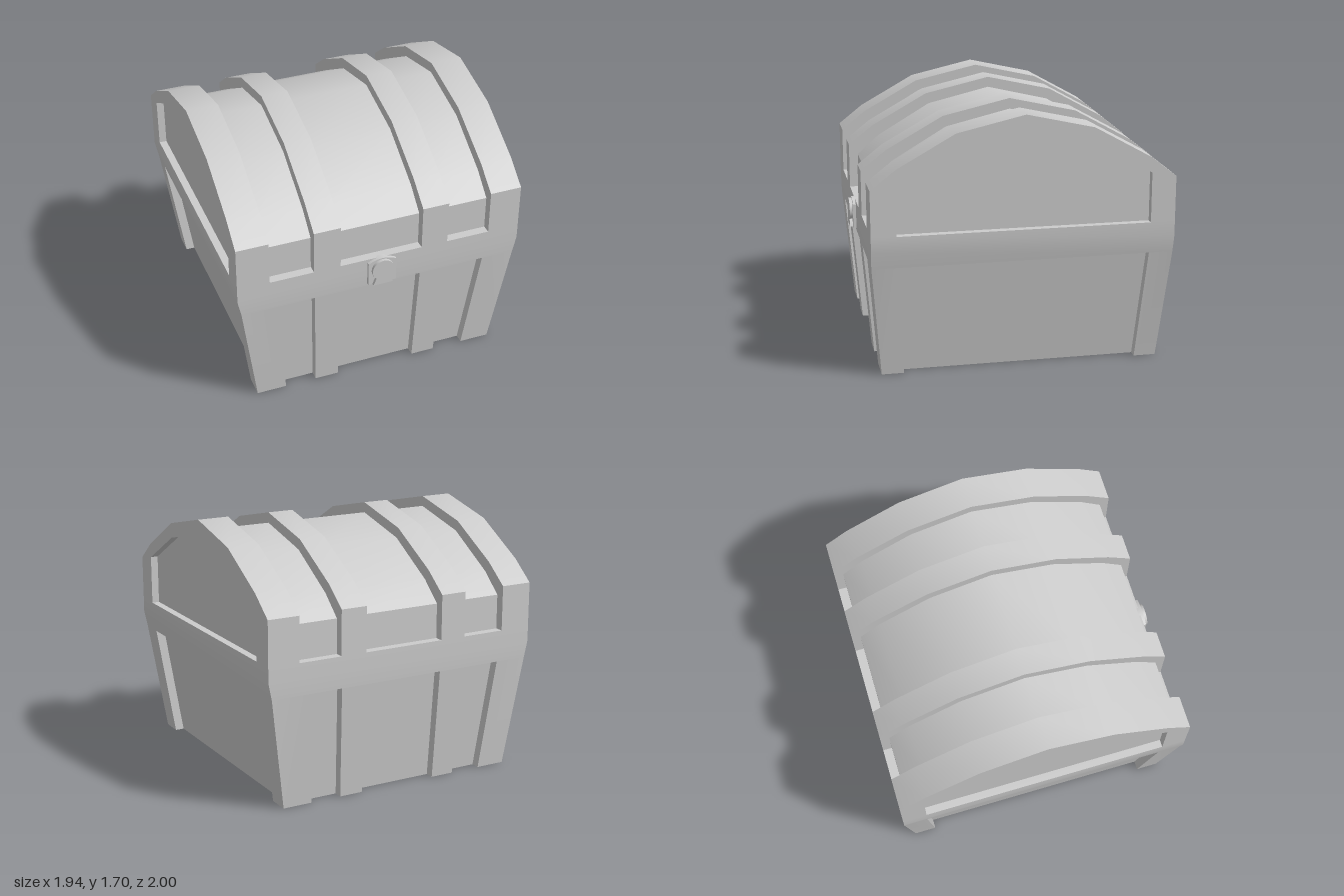
import * as THREE from 'three';
import { toCreasedNormals } from 'three/addons/utils/BufferGeometryUtils.js';

const ZC = -0.02;                       // middle of the chest, the lock takes up the rest
const INSET = 0.06, END_INSET = 0.05;   // depth of the sunken panels
const BELT_LOW = 0.75, BELT_MID = 0.86, BELT_TOP = 0.96, FLOOR = 0.14;
const CORE = new THREE.Vector3(0, 0.8, ZC);
const V = (x, y, z) => new THREE.Vector3(x, y, z);

const material = new THREE.MeshStandardMaterial({ color: 0xcccccc, side: THREE.DoubleSide });

// Half width and half depth of the tapered body at height y
const interp = (y, rows) => {
  for (let i = 1; i < rows.length; i++) {
    const [y0, a] = rows[i - 1], [y1, b] = rows[i];
    if (y <= y1) return a + (b - a) * (y - y0) / (y1 - y0);
  }
  return rows[rows.length - 1][1];
};
const halfX = y => interp(y, [[0, 0.84], [BELT_LOW, 0.947], [BELT_MID, 0.97]]);
const halfZ = y => interp(y, [[0, 0.915], [BELT_LOW, 0.978], [BELT_MID, 0.98]]);

// Point on a wall: u runs along the wall, d is the depth below its surface
const onFront = s => (u, y, d = 0) => V(u, y, ZC + s * (halfZ(y) - d));
const onSide = s => (u, y, d = 0) => V(s * (halfX(y) - d), y, ZC + u);

// Skin two rows of points; faces look at the target, or else away from the core
function loft(out, a, b, target) {
  const tri = (p, q, r) => {
    const n = q.clone().sub(p).cross(r.clone().sub(p));
    if (n.length() < 1e-7) return;
    const mid = p.clone().add(q).add(r).divideScalar(3);
    const look = target ? target.clone().sub(mid) : mid.sub(CORE);
    const order = n.dot(look) < 0 ? [p, r, q] : [p, q, r];
    order.forEach(v => out.push(v.x, v.y, v.z));
  };
  for (let i = 0; i + 1 < a.length; i++) {
    tri(a[i], a[i + 1], b[i + 1]);
    tri(a[i], b[i + 1], b[i]);
  }
}

function skinMesh(name, points) {
  const g = new THREE.BufferGeometry();
  g.setAttribute('position', new THREE.Float32BufferAttribute(points, 3));
  const mesh = new THREE.Mesh(toCreasedNormals(g, THREE.MathUtils.degToRad(32)), material);
  mesh.name = name;
  return mesh;
}

// Complete a half profile, given from the front edge to the ridge
const mirrored = half => [...half, ...half.slice(0, -1).reverse().map(([z, y]) => [-z, y])];

const LID_OUTER = mirrored([[0.98, BELT_TOP], [0.98, 1.26], [0.815, 1.39], [0.44, 1.6], [0, 1.7]]);
const LID_INNER = mirrored([[0.92, BELT_TOP], [0.92, 1.19], [0.775, 1.32], [0.42, 1.53], [0, 1.63]]);
const END_HOLE = mirrored([[0.82, BELT_TOP], [0.82, 1.29], [0.82, 1.29], [0.44, 1.5], [0, 1.6]]);
const across = (profile, x) => profile.map(([z, y]) => V(x, y, ZC + z));

// Sunken panels as [top u0, top u1, bottom u0, bottom u1]
const FRONT_PANELS = [
  [-0.725, -0.455, -0.64, -0.43], [-0.275, 0.275, -0.27, 0.27], [0.455, 0.725, 0.43, 0.64]];
const SIDE_PANELS = [[-0.82, 0.82, -0.77, 0.77]];
const LID_PANELS = [[-0.755, -0.46], [-0.28, 0.28], [0.46, 0.755]];

// One body wall: belt, posts between the panels, panels and their edges
function buildWall(at, half, panels, frame, sunken) {
  const belt = y => [at(-half(y), y), at(half(y), y)];
  loft(frame, belt(BELT_LOW), belt(BELT_MID));
  loft(frame, belt(BELT_MID), belt(BELT_TOP));

  const tops = [-half(BELT_LOW), ...panels.flatMap(p => [p[0], p[1]]), half(BELT_LOW)];
  const feet = [-half(0), ...panels.flatMap(p => [p[2], p[3]]), half(0)];
  for (let i = 0; i < tops.length; i += 2) {
    loft(frame, [at(tops[i], BELT_LOW), at(tops[i + 1], BELT_LOW)],
      [at(feet[i], 0), at(feet[i + 1], 0)]);
  }
  for (const [t0, t1, b0, b1] of panels) {
    const rim = d => [at(b0, 0, d), at(t0, BELT_LOW, d), at(t1, BELT_LOW, d), at(b1, 0, d)];
    const r = rim(INSET);
    loft(sunken, [r[1], r[2]], [r[0], r[3]]);
    loft(sunken, rim(0), r, at((t0 + t1) / 2, 0.35));
  }
}

// Lid: raised bands, sunken panels between them, and framed ends
function buildLid(frame, sunken) {
  const edges = [-0.97, ...LID_PANELS.flat(), 0.97];
  for (let i = 0; i < edges.length; i += 2) {
    loft(frame, across(LID_OUTER, edges[i]), across(LID_OUTER, edges[i + 1]));
  }
  for (const [x0, x1] of LID_PANELS) {
    const middle = V((x0 + x1) / 2, 1.3, ZC);
    loft(sunken, across(LID_INNER, x0), across(LID_INNER, x1));
    for (const x of [x0, x1]) {
      loft(sunken, across(LID_OUTER, x), across(LID_INNER, x), middle);
    }
    for (const s of [1, -1]) {
      const ledge = z => [V(x0, BELT_TOP, ZC + s * z), V(x1, BELT_TOP, ZC + s * z)];
      loft(sunken, ledge(0.98), ledge(0.92), middle);
    }
  }
  for (const s of [1, -1]) {
    const x = s * 0.97, xi = s * (0.97 - END_INSET);
    const hole = across(END_HOLE, xi);
    loft(frame, across(LID_OUTER, x), across(END_HOLE, x));
    loft(sunken, hole, hole.map(p => V(xi, BELT_TOP, p.z)));
    const middle = V(x, 1.2, ZC);
    loft(sunken, across(END_HOLE, x), hole, middle);
    const sill = px => [V(px, BELT_TOP, ZC - 0.82), V(px, BELT_TOP, ZC + 0.82)];
    loft(sunken, sill(x), sill(xi), middle);
  }
}

// Lock: arched plate with a raised keyhole shape
function buildLock() {
  const lock = new THREE.Group();
  lock.name = 'lock';
  const add = (name, shape, z, depth) => {
    const g = new THREE.ExtrudeGeometry(shape, { depth, bevelEnabled: false, curveSegments: 12 });
    const mesh = new THREE.Mesh(toCreasedNormals(g, 0.6), material);
    mesh.name = name;
    mesh.position.z = z;
    lock.add(mesh);
  };
  const plate = new THREE.Shape();
  plate.moveTo(-0.096, 0.77);
  plate.lineTo(0.096, 0.77);
  plate.lineTo(0.096, 0.935);
  plate.quadraticCurveTo(0, 0.99, -0.096, 0.935);
  plate.closePath();
  add('lockPlate', plate, 0.94, 0.04);

  const key = new THREE.Shape();
  key.moveTo(-0.068, 0.772);
  key.lineTo(0.068, 0.772);
  key.lineTo(0.048, 0.822);
  key.absarc(0, 0.88, 0.075, -0.88, Math.PI + 0.88, false);
  key.closePath();
  add('keyholeBoss', key, 0.97, 0.03);
  return lock;
}

export function createModel() {
  const chest = new THREE.Group();
  chest.name = 'chest';
  const bodyFrame = [], bodyPanels = [], lidFrame = [], lidPanels = [], floor = [];

  for (const s of [1, -1]) {
    buildWall(onFront(s), halfX, FRONT_PANELS, bodyFrame, bodyPanels);
    buildWall(onSide(s), halfZ, SIDE_PANELS, bodyFrame, bodyPanels);
  }
  buildLid(lidFrame, lidPanels);

  // Floor set up inside the hollow base
  const fx = halfX(FLOOR) - INSET, fz = halfZ(FLOOR) - INSET;
  loft(floor, [V(-fx, FLOOR, ZC - fz), V(fx, FLOOR, ZC - fz)],
    [V(-fx, FLOOR, ZC + fz), V(fx, FLOOR, ZC + fz)]);

  chest.add(
    skinMesh('bodyFrame', bodyFrame), skinMesh('bodyPanels', bodyPanels),
    skinMesh('lidFrame', lidFrame), skinMesh('lidPanels', lidPanels),
    skinMesh('floor', floor), buildLock());
  return chest;
}
